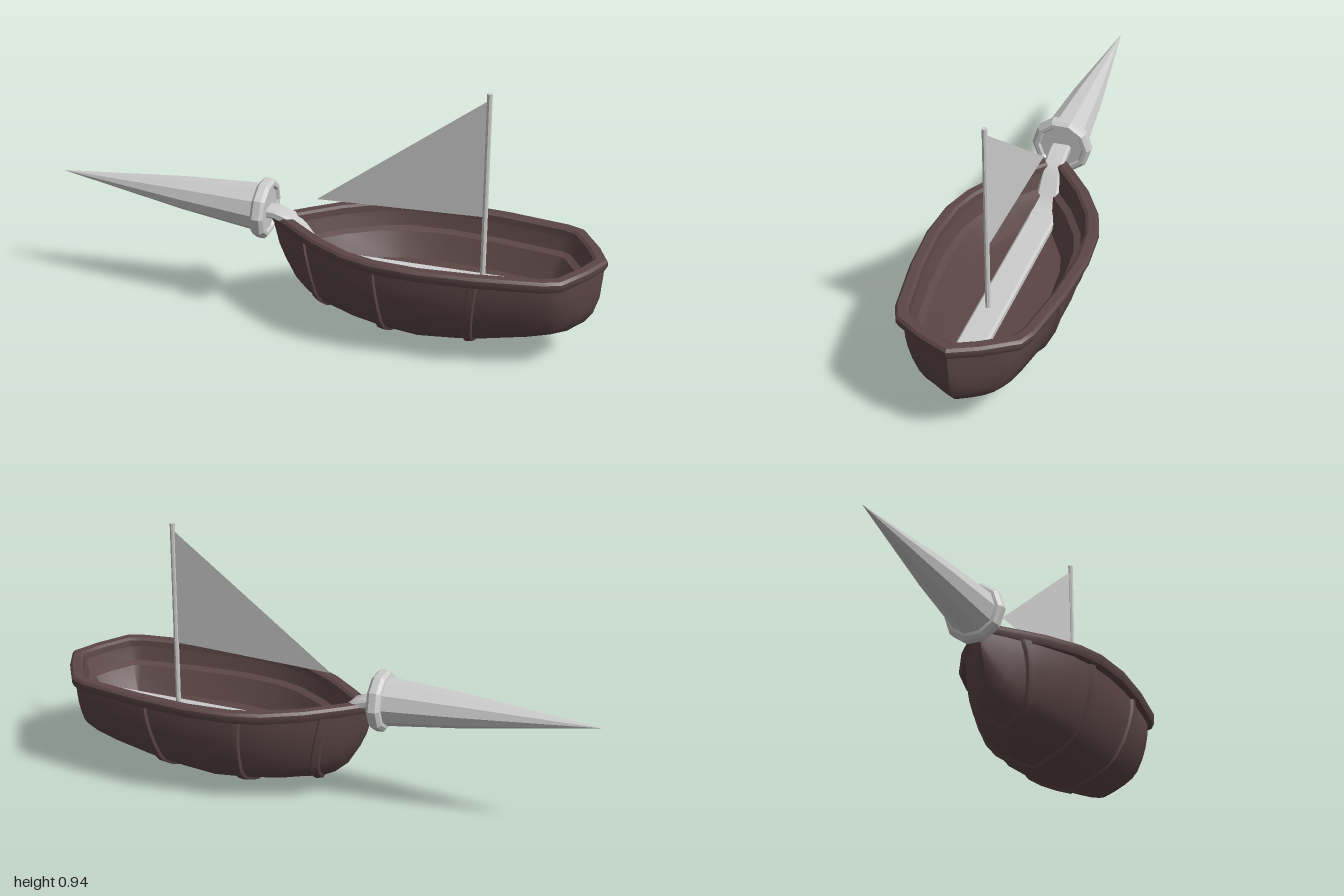
import * as THREE from 'three';
import { toCreasedNormals } from 'three/addons/utils/BufferGeometryUtils.js';

// Skin a grid of points: rows of equal length, optionally closed around
function loft(rows, closed = false, crease = 0.6) {
  const n = rows[0].length, idx = [];
  const cols = closed ? n : n - 1;
  for (let i = 0; i < rows.length - 1; i++) {
    for (let j = 0; j < cols; j++) {
      const k = (j + 1) % n;
      const a = i * n + j, b = a + n, c = (i + 1) * n + k, d = i * n + k;
      idx.push(a, b, c, a, c, d);
    }
  }
  const g = new THREE.BufferGeometry();
  g.setAttribute('position', new THREE.Float32BufferAttribute(rows.flat(2), 3));
  g.setIndex(idx);
  return toCreasedNormals(g, crease);
}

const DECK = 0.35;
// Hull stations: x, half width at the deck, keel height
const STATIONS = [
  [-0.19, 0, 0.34], [-0.17, 0.018, 0.265], [-0.145, 0.038, 0.21], [-0.1, 0.075, 0.135],
  [-0.05, 0.112, 0.09], [0, 0.143, 0.064], [0.13, 0.207, 0.032], [0.24, 0.234, 0.013],
  [0.37, 0.246, 0], [0.5, 0.245, 0.013], [0.6, 0.237, 0.028], [0.75, 0.217, 0.06],
  [0.83, 0.203, 0.083], [0.88, 0.18, 0.102], [0.925, 0.11, 0.135], [0.955, 0.055, 0.175],
  [0.975, 0.018, 0.24], [0.983, 0, 0.33],
];
// Half section from keel to deck: fraction of width, fraction of height
const SECTION = [[0, 0], [0.22, 0.06], [0.45, 0.14], [0.64, 0.23], [0.76, 0.33],
  [0.88, 0.51], [0.96, 0.69], [1, 0.85], [1, 1]];

function station(x) {
  let i = 0;
  while (i < STATIONS.length - 2 && STATIONS[i + 1][0] < x) i++;
  const a = STATIONS[i], b = STATIONS[i + 1];
  const t = (x - a[0]) / (b[0] - a[0]);
  return [x, a[1] + (b[1] - a[1]) * t, a[2] + (b[2] - a[2]) * t];
}
const hullPoint = ([x, w, k], [s, h], side) => [x, k + (DECK - k) * h, side * w * s];

// Outline of the gunwale seen from above, x and half width
const HALF = [[-0.2, 0], [-0.1, 0.085], [0, 0.165], [0.13, 0.24], [0.24, 0.273], [0.4, 0.285],
  [0.6, 0.27], [0.82, 0.235], [0.88, 0.21], [0.95, 0.1], [0.995, 0]];
const OUTLINE = [...HALF, ...HALF.slice(1, -1).reverse().map(([x, z]) => [x, -z])];

// The outline moved inward by d, at height y
function ring(d, y) {
  const n = OUTLINE.length;
  return OUTLINE.map(([x, z], i) => {
    const p = new THREE.Vector2(...OUTLINE[(i + n - 1) % n]);
    const q = new THREE.Vector2(...OUTLINE[(i + 1) % n]);
    const c = new THREE.Vector2(x, z);
    const e = c.clone().sub(p).normalize(), f = q.sub(c).normalize();
    const n1 = new THREE.Vector2(e.y, -e.x), n2 = new THREE.Vector2(f.y, -f.x);
    const m = n1.clone().add(n2).normalize();
    m.multiplyScalar(d / Math.max(m.dot(n1), 0.4));
    const nz = z + m.y;
    return [x + m.x, y, z * nz < 0 ? 0 : nz];
  });
}

export function createModel() {
  const model = new THREE.Group();
  const wood = new THREE.MeshStandardMaterial({ color: 0x5c4646, side: THREE.DoubleSide });
  const grey = new THREE.MeshStandardMaterial({ color: 0xcccccc });
  const sheet = new THREE.MeshStandardMaterial({ color: 0xcccccc, side: THREE.DoubleSide });
  const add = (name, geometry, material) => {
    const mesh = new THREE.Mesh(geometry, material);
    mesh.name = name;
    model.add(mesh);
    return mesh;
  };

  // Two hull halves meeting in a sharp keel
  add('hullLeft', loft(STATIONS.map(s => SECTION.map(p => hullPoint(s, p, 1))), false, 0.9), wood);
  add('hullRight', loft(STATIONS.map(s => [...SECTION].reverse().map(p => hullPoint(s, p, -1))), false, 0.9), wood);

  // Gunwale with bevelled edges
  add('gunwale', loft([[0.048, 0.35], [0.045, 0.378], [0.035, 0.385], [0.008, 0.385],
    [0, 0.376], [0, 0.362], [0.008, 0.345], [0.046, 0.345]].map(([d, y]) => ring(d, y)), true), wood);

  // Inner walls with a ledge, and the floor
  const floorRing = ring(0.13, 0.21);
  add('interior', loft([floorRing.map(([x]) => [x, 0.2, 0]), floorRing,
    ring(0.085, 0.295), ring(0.062, 0.305), ring(0.048, 0.355)], true), wood);

  // Raised ribs wrapped round the hull: x at deck, x at keel
  for (const [top, bottom] of [[-0.055, 0.005], [0.228, 0.255], [0.588, 0.548]]) {
    const path = [...[...SECTION].reverse().map(p => [p, 1]), ...SECTION.slice(1).map(p => [p, -1])];
    const rows = path.map(([p, side]) => {
      const x = top + (bottom - top) * (1 - p[1]);
      return [[-0.018, -0.003], [-0.011, 0.01], [0.011, 0.01], [0.018, -0.003]].map(([dx, out]) => {
        const [px, y, z] = hullPoint(station(x + dx), p, side);
        const len = Math.hypot(z, y - DECK) || 1;
        return [px, y + out * (y - DECK) / len, z + out * z / len];
      });
    });
    add('rib', loft(rows), wood);
  }

  // Bow spike and its collar, turned in one piece
  const profile = [[0, 0], [0.06, 0.47], [0.086, 0.75], [0.097, 0.752], [0.109, 0.763], [0.109, 0.788],
    [0.097, 0.8], [0.084, 0.8], [0.078, 0.792], [0, 0.792]].map(p => new THREE.Vector2(...p));
  const spike = add('bowSpike', toCreasedNormals(new THREE.LatheGeometry(profile, 10), 0.3), grey);
  spike.position.set(-1, 0.44, 0);
  spike.rotation.z = -(Math.PI / 2 + 0.05);

  // Tang: bends over the bow and runs along the floor as a plank (x, y, half width)
  const tang = [[-0.22, 0.395, 0.036], [-0.18, 0.393, 0.036], [-0.13, 0.375, 0.036], [-0.09, 0.335, 0.037],
    [-0.05, 0.28, 0.04], [-0.01, 0.245, 0.047], [0.04, 0.228, 0.05], [0.86, 0.228, 0.05]];
  const rows = tang.map(([x, y, w], i) => {
    const a = tang[Math.max(i - 1, 0)], b = tang[Math.min(i + 1, tang.length - 1)];
    const len = Math.hypot(b[0] - a[0], b[1] - a[1]);
    const nx = -(b[1] - a[1]) / len, ny = (b[0] - a[0]) / len, t = 0.017, c = 0.008;
    return [[w, -t + c], [w, t - c], [w - c, t], [c - w, t], [-w, t - c], [-w, -t + c], [c - w, -t], [w - c, -t]]
      .map(([z, h]) => [x + nx * h, y + ny * h, z]);
  });
  const cap = ([x, y]) => rows[0].map(() => [x, y, 0]);
  add('tangPlank', loft([cap(tang[0]), ...rows, cap(tang[tang.length - 1])], true, 0.5), grey);

  // Mast
  const mast = add('mast', toCreasedNormals(new THREE.CylinderGeometry(0.0095, 0.0095, 0.707, 8), 0.6), grey);
  mast.position.set(0.57, 0.5835, 0.01);

  // Triangular sail
  const sail = new THREE.Shape([[-0.03, 0.467], [0.567, 0.485], [0.567, 0.912]].map(p => new THREE.Vector2(...p)));
  add('sail', new THREE.ShapeGeometry(sail), sheet).position.z = 0.008;

  return model;
}
